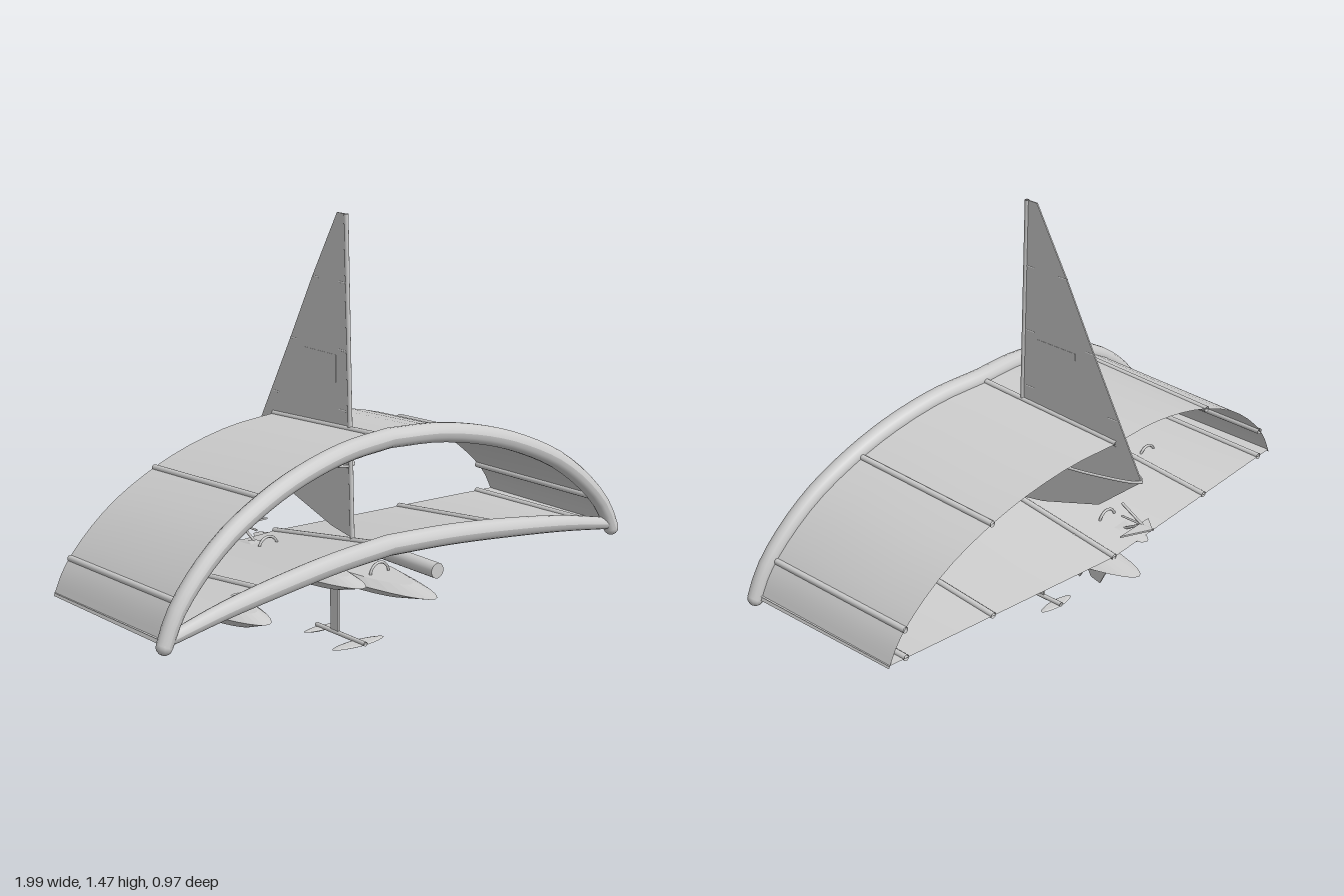
import * as THREE from 'three';

const grey = new THREE.MeshStandardMaterial({ color: 0xcccccc, side: THREE.DoubleSide });
grey.name = 'light grey';

// Half profiles of the two arches, from centre to tip (x, y)
const upper = [[0, 0.768], [0.2, 0.758], [0.4, 0.718], [0.56, 0.662], [0.72, 0.58], [0.85, 0.475], [0.93, 0.38], [0.97, 0.295]];
const lower = [[0, 0.4], [0.25, 0.394], [0.5, 0.375], [0.75, 0.347], [0.97, 0.31]];
const frontZ = x => 0.245 + 0.09 * Math.abs(x) / 0.97;
const backZ = x => -0.37 + 0.085 * Math.abs(x) / 0.97;

// Mirrored, swept leading edge
class Arch extends THREE.Curve {
  constructor(points) {
    super();
    this.half = new THREE.CatmullRomCurve3(points.map(([x, y]) => new THREE.Vector3(x, y, 0)));
  }
  getPoint(t, target = new THREE.Vector3()) {
    const s = 2 * t - 1, p = this.half.getPoint(Math.abs(s));
    return target.set(Math.sign(s) * p.x, p.y, frontZ(p.x));
  }
}

export function createModel() {
  const model = new THREE.Group();
  model.name = 'waterSportsGear';
  const add = (name, geometry, x = 0, y = 0, z = 0, parent = model) => {
    const mesh = new THREE.Mesh(geometry, grey);
    mesh.name = name;
    mesh.position.set(x, y, z);
    parent.add(mesh);
    return mesh;
  };
  // Straight round bar between two points
  const bar = (name, a, b, r, sides = 10) => {
    const line = new THREE.LineCurve3(new THREE.Vector3(...a), new THREE.Vector3(...b));
    return add(name, new THREE.TubeGeometry(line, 1, r, sides));
  };
  // Thin upright plate in the z-y plane
  const sidePlate = (name, points, depth, x = 0) => {
    const shape = new THREE.Shape(points.map(([z, y]) => new THREE.Vector2(-z, y)));
    const g = new THREE.ExtrudeGeometry(shape, { depth, bevelEnabled: false });
    g.translate(0, 0, -depth / 2).rotateY(Math.PI / 2);
    return add(name, g, x);
  };
  // Tube that narrows toward both ends
  const taperedTube = (name, curve, rMid, rEnd) => {
    const n = 40, sides = 14;
    const g = new THREE.TubeGeometry(curve, n, 1, sides);
    const pos = g.attributes.position, v = new THREE.Vector3();
    for (let i = 0; i <= n; i++) {
      const c = curve.getPointAt(i / n), s = Math.abs(2 * i / n - 1);
      const r = rMid + (rEnd - rMid) * s ** 3;
      for (let j = 0; j <= sides; j++) {
        const k = i * (sides + 1) + j;
        v.fromBufferAttribute(pos, k).sub(c).multiplyScalar(r).add(c);
        pos.setXYZ(k, v.x, v.y, v.z);
      }
    }
    g.computeVertexNormals();
    add(name, g);
    for (const t of [0, 1]) {
      const p = curve.getPointAt(t);
      add(name + 'End', new THREE.SphereGeometry(rEnd, 12, 8), p.x, p.y, p.z);
    }
  };
  // Fabric stretched from the leading edge to the trailing edge
  const canopy = (name, curve, backY) => {
    const n = 36, rows = 4;
    const g = new THREE.PlaneGeometry(1, 1, n, rows);
    for (let j = 0; j <= rows; j++) for (let i = 0; i <= n; i++) {
      const p = curve.getPoint(i / n), t = j / rows;
      g.attributes.position.setXYZ(j * (n + 1) + i, p.x,
        p.y + (backY(p.y) - p.y) * t, p.z + (backZ(p.x) - p.z) * t);
    }
    // Turn the faces so the outside is the front
    const idx = g.index.array;
    for (let i = 0; i < idx.length; i += 3) [idx[i + 1], idx[i + 2]] = [idx[i + 2], idx[i + 1]];
    g.computeVertexNormals();
    const n0 = g.attributes.normal;
    if (n0.getY(Math.floor(n / 2)) < 0) {
      for (let i = 0; i < idx.length; i += 3) [idx[i + 1], idx[i + 2]] = [idx[i + 2], idx[i + 1]];
      g.computeVertexNormals();
    }
    add(name, g);
  };
  // Height of a profile at x
  const heightAt = (pts, x) => {
    const i = Math.max(1, pts.findIndex(p => p[0] >= x));
    const [a, b] = [pts[i - 1], pts[i]];
    return a[1] + (b[1] - a[1]) * (x - a[0]) / (b[0] - a[0]);
  };

  // Two inflated wings with battens
  const upperBack = y => y - 0.035 * Math.max(0, (y - 0.29) / 0.48);
  const lowerBack = () => 0.305;
  for (const [name, pts, back, r, rEnd] of [['upperWing', upper, upperBack, 0.034, 0.027], ['lowerWing', lower, lowerBack, 0.036, 0.02]]) {
    const curve = new Arch(pts);
    taperedTube(name + 'LeadingEdge', curve, r, rEnd);
    canopy(name + 'Canopy', curve, back);
    for (const x of [-0.9, -0.54, 0, 0.54, 0.9]) {
      const y = heightAt(pts, Math.abs(x));
      bar(name + 'Strut', [x, y, frontZ(x)], [x, back(y), backZ(x)], 0.011);
    }
  }

  // Sail, mast, window and battens
  sidePlate('sail', [[0.065, 0.38], [0.03, 1.48], [-0.02, 1.48], [-0.15, 1.25], [-0.27, 1.02], [-0.48, 0.63], [-0.3, 0.48], [-0.05, 0.4]], 0.005);
  bar('mast', [0, 0.3, 0.06], [0, 1.48, 0.024], 0.008);
  sidePlate('sailWindow', [[-0.025, 0.88], [-0.025, 1], [-0.19, 1], [-0.19, 0.88]], 0.007);
  for (const [y, z] of [[1.25, -0.15], [1.02, -0.27], [0.815, -0.37]]) {
    bar('battenFront', [0, y, 0.03], [0, y, -0.01], 0.004, 6);
    bar('battenBack', [0, y, z + 0.035], [0, y, z], 0.004, 6);
  }
  // Wishbone boom
  const boom = [[0, 0.05], [0.06, -0.02], [0.09, -0.17], [0.065, -0.33], [0, -0.48], [-0.065, -0.33], [-0.09, -0.17], [-0.06, -0.02]];
  add('boom', new THREE.TubeGeometry(new THREE.CatmullRomCurve3(
    boom.map(([x, z]) => new THREE.Vector3(x, 0.63, z)), true), 40, 0.005, 8));

  // Boards with a thin rim and pointed ends
  const board = (name, x, y, z, w, h, l) => {
    const profile = [[0.001, -0.5], [0.7, -0.5], [1, 0.1], [0.75, 0.5], [0.001, 0.5]];
    const g = new THREE.LatheGeometry(profile.map(p => new THREE.Vector2(...p)), 32);
    const pos = g.attributes.position;
    for (let i = 0; i < pos.count; i++) {
      const pz = pos.getZ(i);
      pos.setXYZ(i, pos.getX(i) * w * (1 - 0.2 * pz * pz), pos.getY(i) * h, pz * l);
    }
    const flat = g.toNonIndexed();
    flat.computeVertexNormals();
    return add(name, flat, x, y, z);
  };
  board('longBoard', 0, 0.268, 0, 0.112, 0.052, 0.48);
  board('middleBoard', -0.16, 0.295, -0.035, 0.092, 0.05, 0.345);
  board('shortBoard', -0.615, 0.295, 0.105, 0.092, 0.05, 0.285);
  // Foot straps
  for (const [x, y, z] of [[0, 0.29, 0.2], [0, 0.29, -0.2], [-0.16, 0.315, 0.12], [-0.16, 0.315, -0.2], [-0.615, 0.315, 0.22], [-0.615, 0.315, 0]])
    add('footStrap', new THREE.TorusGeometry(0.04, 0.005, 6, 14, Math.PI), x, y, z);

  // Fins under the long board
  sidePlate('fins', [[-0.16, 0.25], [-0.195, 0.18], [-0.22, 0.17], [-0.25, 0.225], [-0.27, 0.19], [-0.31, 0.18], [-0.345, 0.25]], 0.006);

  // Hydrofoil
  add('foilMast', new THREE.BoxGeometry(0.008, 0.23, 0.042), 0, 0.14, -0.034);
  bar('foilFuselage', [0, 0.02, 0.13], [0, 0.02, -0.135], 0.008);
  board('foilFrontWing', 0, 0.012, 0.09, 0.112, 0.008, 0.032);
  board('foilRearWing', 0, 0.012, -0.11, 0.075, 0.008, 0.022);

  // Pump
  const pump = add('pump', new THREE.CylinderGeometry(0.027, 0.027, 0.525, 18), 0.16, 0.295, 0.05);
  pump.rotation.x = Math.PI / 2;

  // Control bar lines and small tail plate
  for (const y of [0.41, 0.31]) bar('controlLine', [-0.155, y, -0.27], [-0.155, 0.36, -0.36], 0.005, 6);
  bar('controlBar', [-0.155, 0.36, -0.27], [-0.155, 0.36, -0.41], 0.004, 6);
  const tail = new THREE.Shape([[-0.2, 0.35], [-0.15, 0.41], [-0.04, 0.36]].map(p => new THREE.Vector2(...p)));
  const tailGeo = new THREE.ExtrudeGeometry(tail, { depth: 0.006, bevelEnabled: false });
  tailGeo.rotateX(-Math.PI / 2);
  add('tailPlate', tailGeo, 0, 0.357, 0);

  return model;
}
